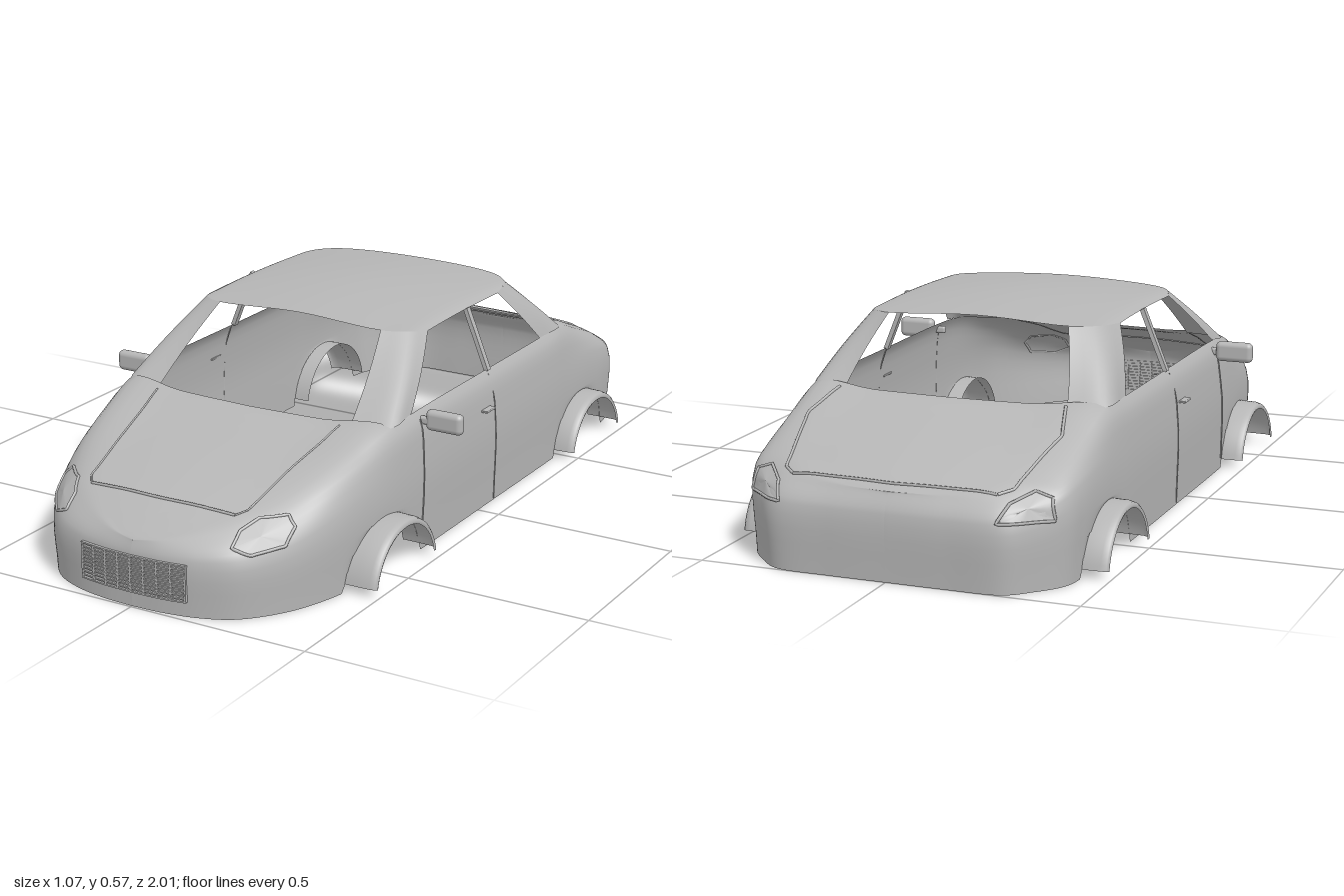
import * as THREE from 'three';
import { mergeGeometries } from 'three/addons/utils/BufferGeometryUtils.js';
import { RoundedBoxGeometry } from 'three/addons/geometries/RoundedBoxGeometry.js';

const V = (x, y, z) => new THREE.Vector3(x, y, z);
const spline = (pts, closed = false, type = 'centripetal') => new THREE.CatmullRomCurve3(pts, closed, type);

// Surface from a rule point(i, j) on an nu by nv grid; skip(i, j) leaves openings
function grid(nu, nv, point, skip = () => false) {
  const pos = [], index = [];
  for (let i = 0; i <= nu; i++) for (let j = 0; j <= nv; j++) pos.push(...point(i, j).toArray());
  for (let i = 0; i < nu; i++) for (let j = 0; j < nv; j++) {
    if (skip(i, j)) continue;
    const a = i * (nv + 1) + j, b = a + nv + 1;
    index.push(a, a + 1, b, b, a + 1, b + 1);
  }
  const g = new THREE.BufferGeometry();
  g.setAttribute('position', new THREE.Float32BufferAttribute(pos, 3));
  g.setIndex(index);
  g.computeVertexNormals();
  return g;
}

// Stations around the body: sill x, sill z, waist y, shoulder x, y, z, centre y, z
const FRONT = [
  [0, 0.995, 0.14, 0, 0.17, 0.986, 0.172, 0.986],
  [0.09, 0.99, 0.142, 0.07, 0.178, 0.975, 0.181, 0.975],
  [0.18, 0.972, 0.145, 0.14, 0.19, 0.948, 0.197, 0.95],
  [0.26, 0.935, 0.15, 0.205, 0.205, 0.908, 0.22, 0.91],
  [0.322, 0.87, 0.16, 0.27, 0.225, 0.85, 0.248, 0.85],
  [0.368, 0.79, 0.18, 0.318, 0.25, 0.765, 0.273, 0.77],
  [0.403, 0.68, 0.21, 0.355, 0.285, 0.67, 0.303, 0.67],
  [0.422, 0.55, 0.23, 0.382, 0.322, 0.55, 0.333, 0.555],
  [0.433, 0.42, 0.24, 0.40, 0.358, 0.42, 0.361, 0.463],
];
const DOORS = [0.25, -0.1, -0.42].map((z) => [0.437, z, 0.25, 0.405, 0.369, z, 0.37, z]);
const REAR = [
  [0.435, -0.55, 0.25, 0.40, 0.368, -0.555, 0.368, -0.592],
  [0.433, -0.68, 0.25, 0.395, 0.325, -0.68, 0.343, -0.68],
  [0.428, -0.80, 0.235, 0.385, 0.28, -0.80, 0.303, -0.80],
  [0.412, -0.875, 0.215, 0.365, 0.253, -0.865, 0.273, -0.88],
  [0.36, -0.94, 0.185, 0.32, 0.24, -0.91, 0.253, -0.925],
  [0.29, -0.994, 0.172, 0.26, 0.225, -0.955, 0.238, -0.95],
  [0.15, -1.0, 0.17, 0.14, 0.217, -0.972, 0.225, -0.97],
  [0, -1.0, 0.17, 0, 0.217, -0.977, 0.221, -0.977],
];
const WHEELS = [0.495, -0.635], ARCH = 0.167, HUB = -0.012;

function bodyGeometry() {
  const rows = [...FRONT, ...DOORS, ...REAR], per = 12, half = 20;
  const sections = rows.map(([xb, zb, ym, xt, yt, zt, yc, zc]) => [
    V(xb, 0, zb), V(xb, ym, zb), V(xt, yt, zt),
    V(xt * 0.55, yt + (yc - yt) * 0.75, zt + (zc - zt) * 0.7), V(0, yc, zc)]);
  const rails = [0, 1, 2, 3, 4].map((k) => spline(sections.map((s) => s[k]), false, 'catmullrom'));
  const n = (rows.length - 1) * per;
  const profiles = Array.from({ length: n + 1 }, (_, i) => spline(rails.map((r) => r.getPoint(i / n))));
  const cabinStart = (FRONT.length - 1) * per, cabinEnd = (FRONT.length + DOORS.length) * per;
  return grid(n, half * 2, (i, j) => {
    const p = profiles[i].getPoint(j <= half ? j / half : 2 - j / half);
    // wheel openings lift the lower edge
    for (const c of WHEELS) {
      const d = ARCH * ARCH - (p.z - c) ** 2;
      if (d > 0) p.y = Math.max(p.y, Math.sqrt(d) + HUB);
    }
    if (j > half) p.x *= -1;
    return p;
  }, (i, j) => i >= cabinStart && i < cabinEnd && j >= half / 2 && j < half * 1.5);
}

export function createModel() {
  const model = new THREE.Group();
  model.name = 'carBody';
  const paint = new THREE.MeshStandardMaterial({ color: 0xb6b6b6, side: THREE.DoubleSide });
  paint.name = 'grey paint';
  const add = (parent, name, geometry, x = 0, y = 0, z = 0) => {
    const m = new THREE.Mesh(geometry, paint);
    m.name = name;
    m.position.set(x, y, z);
    parent.add(m);
    return m;
  };

  const body = add(model, 'bodyShell', bodyGeometry());
  const left = new THREE.Group();
  left.name = 'leftSide';

  // Roof between the windscreen edge and the rear window edge
  const windscreenTop = [V(0.25, 0.537, 0.21), V(0.315, 0.534, 0.175), V(0.341, 0.526, 0.12)];
  const rearTop = [V(0.25, 0.537, -0.42), V(0.315, 0.533, -0.37), V(0.341, 0.526, -0.28)];
  const across = (pts, z) => spline([
    ...pts.map((p) => V(-p.x, p.y, p.z)).reverse(), V(0, 0.548, z), ...pts]);
  const roofFront = across(windscreenTop, 0.212), roofRear = across(rearTop, -0.422);
  add(model, 'roof', grid(16, 36, (i, j) => {
    const t = i / 16, p = roofFront.getPoint(j / 36).lerp(roofRear.getPoint(j / 36), t);
    p.y += 0.018 * Math.sin(Math.PI * t) * (1 - 0.8 * (p.x / 0.341) ** 4);
    return p;
  }));

  // Windscreen and rear pillars
  const pillar = (name, base, top) => {
    const a = spline(base), b = spline(top);
    add(left, name, grid(8, 10, (i, j) => {
      const p = a.getPoint(j / 10).lerp(b.getPoint(j / 10), i / 8);
      p.x += 0.005 * Math.sin(Math.PI * i / 8);
      return p;
    }));
  };
  pillar('frontPillar', [V(0.295, 0.36, 0.435), V(0.40, 0.358, 0.42), V(0.405, 0.369, 0.32)], windscreenTop);
  pillar('rearPillar', [V(0.305, 0.368, -0.572), V(0.40, 0.368, -0.555), V(0.405, 0.369, -0.42)], rearTop);
  const post = add(left, 'doorPillar', new THREE.BoxGeometry(0.012, 0.178, 0.018), 0.374, 0.448, -0.098);
  post.rotation.z = Math.atan2(0.065, 0.16);

  // Wheel arch flares with a turned-in lip
  const lip = [[0.39, ARCH], [0.44, ARCH], [0.475, ARCH - 0.001], [0.489, ARCH - 0.005], [0.495, ARCH - 0.012], [0.492, 0.148]];
  WHEELS.forEach((c, k) => add(left, k ? 'rearArch' : 'frontArch', grid(32, lip.length - 1, (i, j) => {
    const a = 0.21 + (Math.PI - 0.42) * i / 32;
    return V(lip[j][0], lip[j][1] * Math.sin(a) + HUB, c + lip[j][1] * Math.cos(a));
  })));

  // Door mirror and handle
  add(left, 'mirrorHead', new RoundedBoxGeometry(0.105, 0.056, 0.03, 4, 0.0145), 0.483, 0.348, 0.283);
  add(left, 'mirrorArm', new RoundedBoxGeometry(0.05, 0.02, 0.018, 2, 0.006), 0.422, 0.345, 0.287);
  add(left, 'doorHandle', new RoundedBoxGeometry(0.02, 0.006, 0.05, 2, 0.002), 0.442, 0.277, -0.04);

  // Details laid on the shell by projecting points along a direction
  const ray = new THREE.Raycaster();
  const project = (p, dir, lift) => {
    ray.set(p.clone().addScaledVector(dir, -3), dir);
    const hit = ray.intersectObject(body)[0];
    return hit ? hit.point.addScaledVector(dir, -lift) : null;
  };
  const trace = (pts, dir, closed, lift) => {
    const out = [], n = pts.length;
    for (let i = 0; i < (closed ? n : n - 1); i++)
      for (let k = 0; k < 6; k++) out.push(pts[i].clone().lerp(pts[(i + 1) % n], k / 6));
    if (!closed) out.push(pts[n - 1]);
    return out.map((p) => project(p, dir, lift)).filter(Boolean);
  };
  const seam = (parent, name, pts, dir, r) => {
    const path = trace(pts, dir, false, 0.001);
    if (path.length > 2) add(parent, name, new THREE.TubeGeometry(spline(path), path.length * 2, r, 6));
  };
  const lamp = (name, outline, dir) => {
    const rim = trace(outline.map(([x, y]) => V(x, y, 0)), dir, true, 0.003);
    const mid = rim.reduce((s, p) => s.add(p), V(0, 0, 0)).divideScalar(rim.length);
    const centre = project(V(mid.x, mid.y, 0), dir, 0.008) || mid;
    add(left, name + 'Rim', new THREE.TubeGeometry(spline(rim, true), rim.length * 2, 0.004, 6, true));
    add(left, name, grid(rim.length, 4, (i, j) => centre.clone().lerp(rim[i % rim.length], j / 4)));
  };
  const back = V(0, 0, -1), forward = V(0, 0, 1), down = V(0, -1, 0), inward = V(-1, 0, 0);
  lamp('headlight', [[0.247, 0.18], [0.247, 0.212], [0.272, 0.234], [0.325, 0.236], [0.348, 0.212], [0.345, 0.175], [0.29, 0.163]], back);
  lamp('tailLight', [[0.285, 0.175], [0.305, 0.216], [0.35, 0.238], [0.39, 0.224], [0.402, 0.172]], forward);

  // Panel gaps
  seam(left, 'bonnetSeam', [V(0.28, 0, 0.47), V(0.255, 0, 0.65), V(0.235, 0, 0.83), V(0.215, 0, 0.856)], down, 0.0025);
  seam(model, 'bonnetFrontSeam', [V(-0.215, 0, 0.856), V(0, 0, 0.866), V(0.215, 0, 0.856)], down, 0.004);
  seam(left, 'bootSeam', [V(0.31, 0, -0.595), V(0.343, 0, -0.71), V(0.30, 0, -0.92), V(0.27, 0, -0.945)], down, 0.004);
  seam(model, 'bootRearSeam', [V(-0.27, 0, -0.945), V(0, 0, -0.955), V(0.27, 0, -0.945)], down, 0.004);
  seam(left, 'frontDoorSeam', [V(0, 0.03, 0.318), V(0, 0.2, 0.312), V(0, 0.35, 0.3)], inward, 0.002);
  seam(left, 'rearDoorSeam', [V(0, 0.005, -0.09), V(0, 0.36, -0.09)], inward, 0.0015);

  // Grille of fine bars following the nose
  const bars = [], cols = 8, lines = 10, w = 0.305 / cols;
  const noseZ = (x) => (project(V(x, 0.09, 0), back, 0) || V(0, 0, 0.99)).z;
  for (let c = 0; c <= cols; c++) {
    const x = -0.1525 + c * w;
    bars.push(new THREE.BoxGeometry(0.006, 0.097, 0.01).translate(x, 0.088, noseZ(x)));
    if (c < cols) for (let r = 0; r <= lines; r++) {
      const slope = Math.atan2(noseZ(x) - noseZ(x + w), w);
      bars.push(new THREE.BoxGeometry(w, 0.004, 0.01).rotateY(slope)
        .translate(x + w / 2, 0.041 + r * 0.0094, noseZ(x + w / 2)));
    }
  }
  add(model, 'grille', mergeGeometries(bars));

  // Mirror the side parts
  const right = left.clone();
  right.name = 'rightSide';
  right.scale.x = -1;
  model.add(left, right);
  return model;
}
